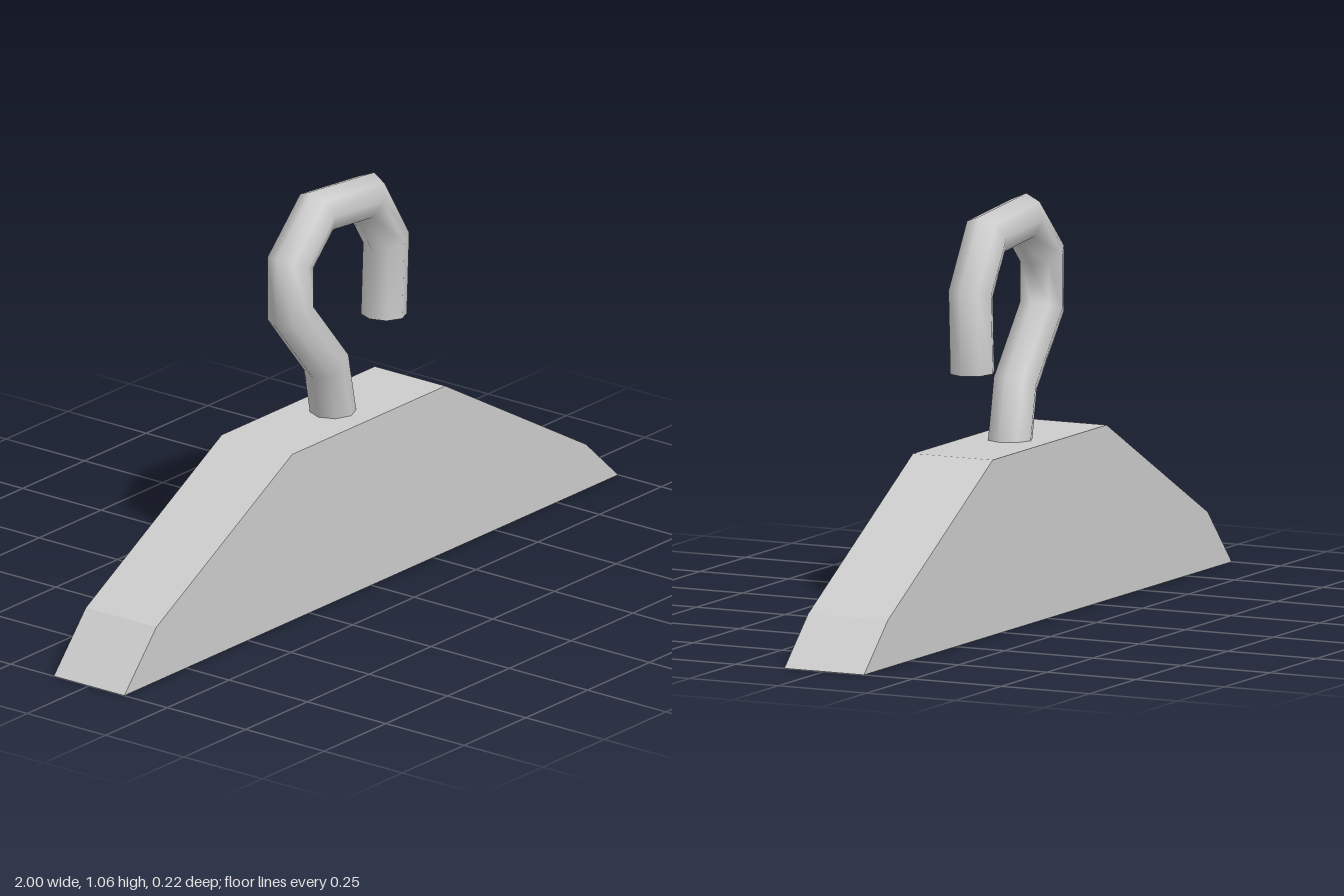
import * as THREE from 'three';

const metalGrey = new THREE.MeshStandardMaterial({ color: 0xcccccc });
metalGrey.name = 'light grey';

// Eight-sided rod swept along a polyline in the xy plane, mitred at each bend
function mitredRod(points, radius, sides) {
  const path = points.map(([x, y]) => new THREE.Vector2(x, y));
  const pos = [], index = [];
  const last = path.length - 1;
  const ring = (i) => {
    const dIn = path[Math.max(i, 1)].clone().sub(path[Math.max(i, 1) - 1]).normalize();
    const dOut = path[Math.min(i + 1, last)].clone().sub(path[Math.min(i, last - 1)]).normalize();
    const t = dIn.clone().add(dOut).normalize();
    const stretch = radius / t.dot(dIn);
    for (let j = 0; j < sides; j++) {
      const a = (j / sides) * Math.PI * 2;
      const n = Math.cos(a) * stretch;
      pos.push(path[i].x - t.y * n, path[i].y + t.x * n, Math.sin(a) * radius);
    }
  };
  for (let i = 0; i <= last; i++) ring(i);
  for (let i = 0; i < last; i++) {
    for (let j = 0; j < sides; j++) {
      const a = i * sides + j, b = i * sides + (j + 1) % sides;
      index.push(a, b, a + sides, b, b + sides, a + sides);
    }
  }
  // Flat end caps on their own vertices so the rims stay sharp
  for (const end of [0, last]) {
    const base = pos.length / 3;
    ring(end);
    for (let j = 1; j < sides - 1; j++) {
      if (end === 0) index.push(base, base + j + 1, base + j);
      else index.push(base, base + j, base + j + 1);
    }
  }
  const g = new THREE.BufferGeometry();
  g.setAttribute('position', new THREE.Float32BufferAttribute(pos, 3));
  g.setIndex(index);
  g.computeVertexNormals();
  return g;
}

export function createModel() {
  const group = new THREE.Group();
  group.name = 'coatHanger';

  // Solid sloping shoulders
  const outline = [[-1, 0], [1, 0], [0.87, 0.12], [0.3, 0.445], [-0.32, 0.445], [-0.87, 0.145]];
  const depth = 0.225;
  const shape = new THREE.Shape(outline.map(([x, y]) => new THREE.Vector2(x, y)));
  const body = new THREE.ExtrudeGeometry(shape, { depth, bevelEnabled: false });
  body.translate(0, 0, -depth / 2);
  const shoulders = new THREE.Mesh(body, metalGrey);
  shoulders.name = 'shoulders';
  group.add(shoulders);

  // Bent hook rising from the top
  const hook = new THREE.Mesh(mitredRod([
    [-0.005, 0.41], [-0.04, 0.583], [-0.184, 0.756], [-0.184, 0.893],
    [-0.078, 0.997], [0.12, 0.979], [0.203, 0.845], [0.194, 0.644],
  ], 0.058, 8), metalGrey);
  hook.name = 'hook';
  group.add(hook);

  return group;
}
